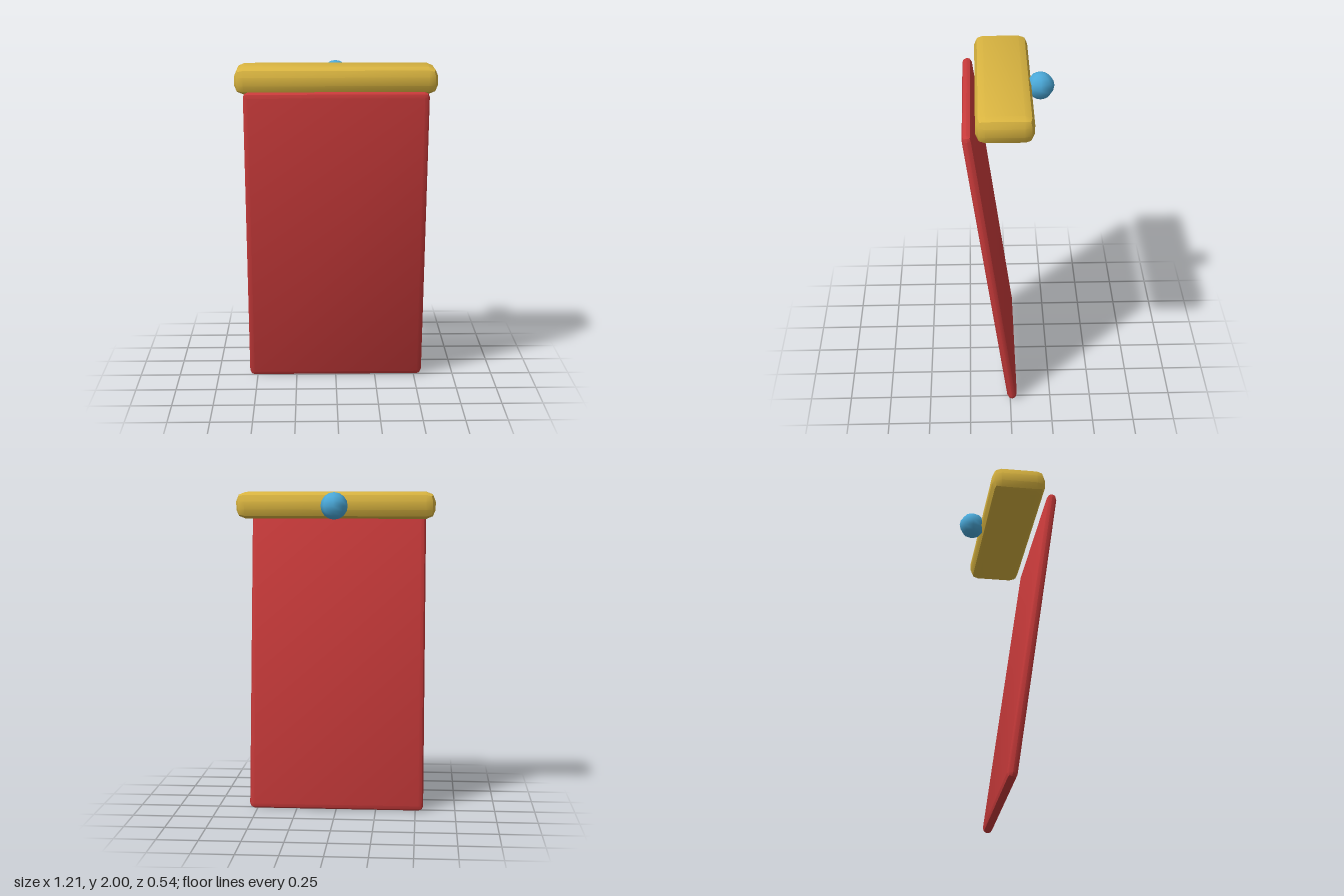
import * as THREE from 'three';
import { RoundedBoxGeometry } from 'three/addons/geometries/RoundedBoxGeometry.js';
import { toCreasedNormals } from 'three/addons/utils/BufferGeometryUtils.js';

const material = (name, color) => {
  const m = new THREE.MeshStandardMaterial({ color });
  m.name = name;
  return m;
};

// Box with single-step bevels and crisp rims
const bevelBox = (w, h, d, radius) =>
  toCreasedNormals(new RoundedBoxGeometry(w, h, d, 1, radius), Math.PI / 6);

export function createModel() {
  const group = new THREE.Group();
  const gold = material('gold', 0xd9b440);
  const red = material('red', 0xc83a3a);
  const blue = material('blue', 0x4aa8d8);

  const add = (name, geometry, mat, x, y, z) => {
    const mesh = new THREE.Mesh(geometry, mat);
    mesh.name = name;
    mesh.position.set(x, y, z);
    group.add(mesh);
    return mesh;
  };

  // Horizontal bar across the top
  add('topBar', bevelBox(1.214, 0.16, 0.33, 0.055), gold, 0, 1.92, 0.031);

  // Long panel leaning forward at its top
  const panel = add('hangingPanel', bevelBox(1.1, 1.88, 0.06, 0.03), red, 0, 0.936, 0.115);
  panel.rotation.x = 0.139;

  // Round knob behind the bar
  add('rearKnob', new THREE.SphereGeometry(0.082, 8, 8), blue, 0, 1.92, -0.19);

  return group;
}
